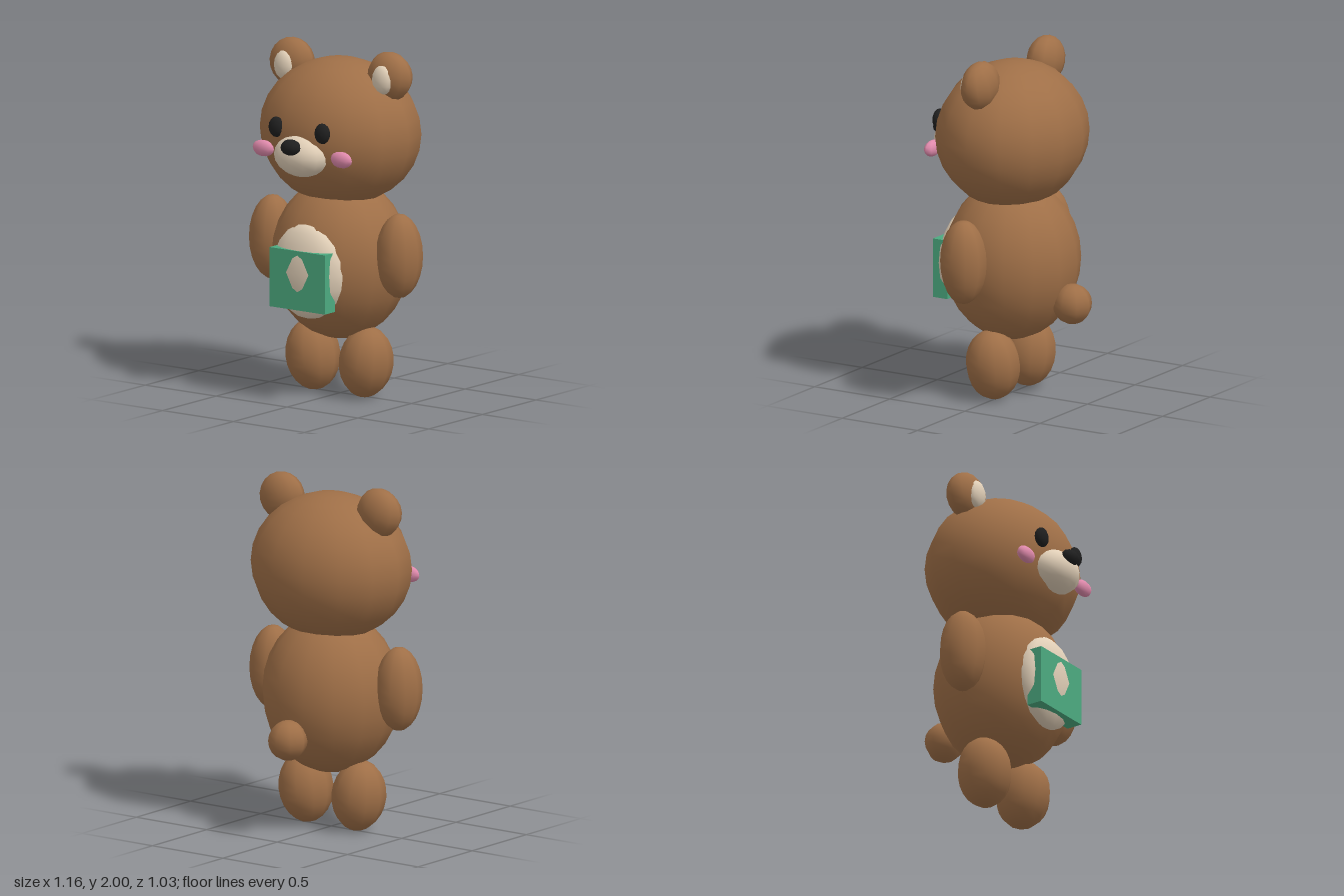
import * as THREE from 'three';

const mat = (name, color) => {
  const m = new THREE.MeshStandardMaterial({ color });
  m.name = name;
  return m;
};

export function createModel() {
  const brown = mat('brown fur', 0x9f6f47);
  const cream = mat('cream fur', 0xe2d0b8);
  const black = mat('black', 0x1f1f1f);
  const pink = mat('pink', 0xe08aac);
  const green = mat('green', 0x4caa80);

  const bear = new THREE.Group();
  bear.name = 'teddyBear';

  // Every soft part is a stretched sphere
  const blob = (name, material, [x, y, z], [rx, ry, rz], ws, hs, tilt = 0) => {
    const mesh = new THREE.Mesh(new THREE.SphereGeometry(1, ws, hs).scale(rx, ry, rz), material);
    mesh.name = name;
    mesh.position.set(x, y, z);
    mesh.rotation.z = tilt;
    bear.add(mesh);
  };

  // Body, head and tail
  blob('body', brown, [0, 0.78, 0], [0.4, 0.46, 0.385], 14, 14);
  blob('head', brown, [0, 1.51, 0], [0.482, 0.42, 0.415], 14, 14);
  blob('tail', brown, [0, 0.57, -0.4], [0.113, 0.115, 0.113], 8, 10);
  blob('belly', cream, [0, 0.75, 0.3], [0.243, 0.275, 0.115], 12, 10);

  // Face
  blob('muzzle', cream, [0, 1.425, 0.36], [0.175, 0.123, 0.125], 12, 10);
  blob('nose', black, [0, 1.486, 0.465], [0.066, 0.046, 0.048], 8, 8);

  // Mirrored pairs
  for (const s of [1, -1]) {
    const side = s > 0 ? 'left' : 'right';
    blob(side + 'Ear', brown, [s * 0.345, 1.862, -0.005], [0.145, 0.138, 0.096], 10, 10, -s * 0.3);
    blob(side + 'InnerEar', cream, [s * 0.346, 1.852, 0.065], [0.069, 0.085, 0.045], 10, 8);
    blob(side + 'Eye', black, [s * 0.162, 1.572, 0.385], [0.05, 0.059, 0.034], 10, 8);
    blob(side + 'Cheek', pink, [s * 0.275, 1.431, 0.357], [0.075, 0.047, 0.034], 8, 8);
    blob(side + 'Arm', brown, [s * 0.447, 0.85, 0.043], [0.132, 0.242, 0.136], 10, 12);
    blob(side + 'Leg', brown, [s * 0.188, 0.203, 0.01], [0.153, 0.204, 0.158], 10, 12, -s * 0.12);
  }

  // Book held against the belly
  const book = new THREE.Mesh(new THREE.BoxGeometry(0.39, 0.34, 0.095), green);
  book.name = 'book';
  book.position.set(0, 0.71, 0.3575);
  bear.add(book);

  return bear;
}
